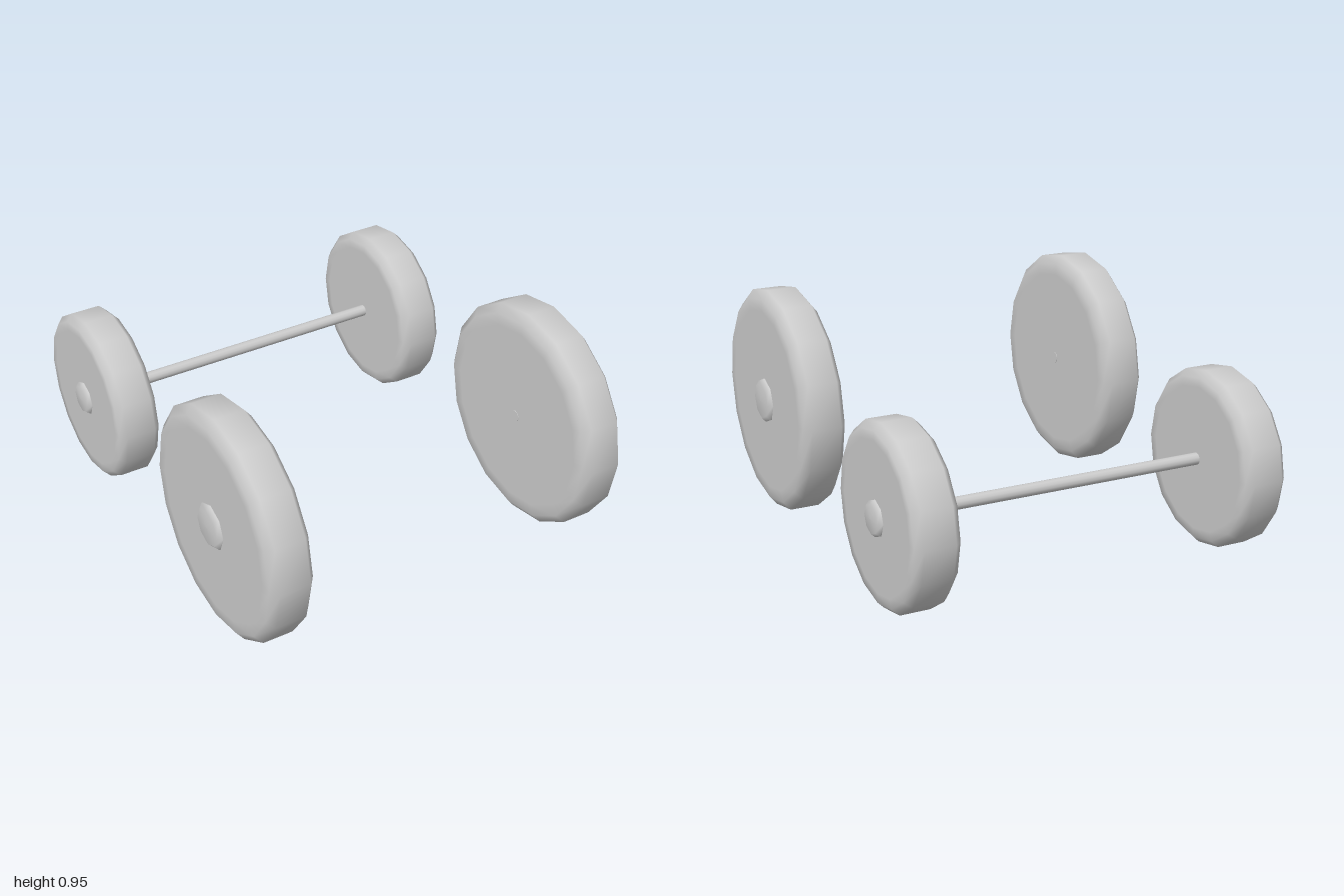
import * as THREE from 'three';

const material = new THREE.MeshStandardMaterial({ color: 0xcccccc });

function part(name, geometry) {
  const mesh = new THREE.Mesh(geometry, material);
  mesh.name = name;
  return mesh;
}

// Lathe from [radius, height] pairs, listed from bottom to top
function lathe(points, sides) {
  return new THREE.LatheGeometry(points.map(([r, h]) => new THREE.Vector2(r, h)), sides);
}

// One wheel around its own axis, outer face towards +y
function makeWheel(name, radius, hubRadius) {
  const wheel = new THREE.Group();
  wheel.name = name;
  const half = 0.09, tread = 0.062;
  const shoulder = radius * 0.925, face = radius * 0.82;

  wheel.add(part('tire', lathe([
    [0, -half], [face, -half], [shoulder, -half], [radius, -tread],
    [radius, tread], [shoulder, half], [face, half], [0, half],
  ], 16)));

  // Shallow domed cap on the outer face
  wheel.add(part('hubCap', lathe([
    [hubRadius, half - 0.005], [hubRadius, half + 0.004],
    [hubRadius * 0.8, half + 0.02], [0, half + 0.022],
  ], 8)));

  // Axle end, just proud of the inner face
  const stub = part('axleEnd', new THREE.CylinderGeometry(0.025, 0.025, 0.02, 12));
  stub.position.y = -half + 0.008;
  wheel.add(stub);
  return wheel;
}

export function createModel() {
  const model = new THREE.Group();
  model.name = 'wheelSet';

  const sets = [
    { name: 'front', radius: 0.472, hub: 0.095, y: 0.478, z: 0.528 },
    { name: 'rear', radius: 0.3635, hub: 0.073, y: 0.367, z: -0.6365 },
  ];
  for (const s of sets) {
    for (const side of [1, -1]) {
      const wheel = makeWheel(s.name + (side > 0 ? 'LeftWheel' : 'RightWheel'), s.radius, s.hub);
      wheel.rotation.z = -side * Math.PI / 2;
      wheel.position.set(side * 0.695, s.y, s.z);
      model.add(wheel);
    }
  }

  // Rear axle joining the rear wheels
  const axle = part('rearAxle', new THREE.CylinderGeometry(0.025, 0.025, 1.24, 12));
  axle.rotation.z = Math.PI / 2;
  axle.position.set(0, 0.367, -0.6365);
  model.add(axle);

  return model;
}
